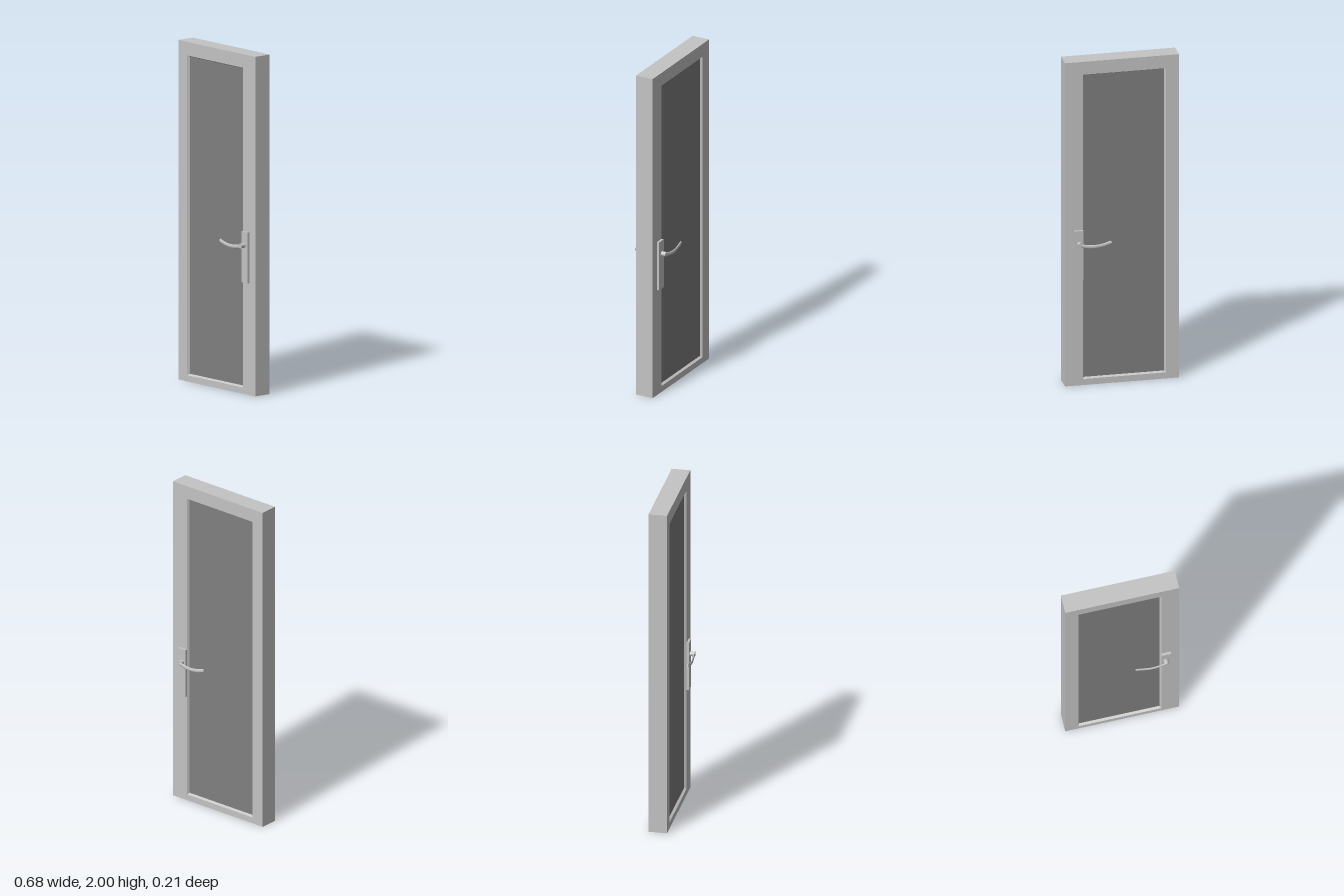
import * as THREE from 'three';

const mat = (name, color, extra = {}) => Object.assign(new THREE.MeshStandardMaterial({ color, ...extra }), { name });

export function createModel() {
  const frameGrey = mat('frame grey', 0xc4c4c4);
  const beadGrey = mat('bead grey', 0xc4c4c4, { side: THREE.DoubleSide });
  const glassGrey = mat('dark glass', 0x808080);
  const door = new THREE.Group();
  door.name = 'door';

  const add = (parent, name, geometry, material, x = 0, y = 0, z = 0) => {
    const mesh = new THREE.Mesh(geometry, material);
    mesh.name = name;
    mesh.position.set(x, y, z);
    parent.add(mesh);
    return mesh;
  };

  // Corners of a rectangle, counter-clockwise
  const L = -0.26, R = 0.232, B = 0.037, T = 1.92;
  const rect = (l, r, b, t) => [[l, b], [r, b], [r, t], [l, t]];
  const points = (list) => list.map(([x, y]) => new THREE.Vector2(x, y));

  // Frame with the window opening
  const depth = 0.11, glassZ = 0.04, lip = 0.008;
  const shape = new THREE.Shape(points(rect(-0.338, 0.338, 0, 2)));
  shape.holes.push(new THREE.Path(points(rect(L, R, B, T).reverse())));
  const frame = new THREE.ExtrudeGeometry(shape, { depth, bevelEnabled: false });
  add(door, 'frame', frame, frameGrey, 0, 0, -depth / 2);

  // Glass pane
  add(door, 'glass', new THREE.BoxGeometry(R - L, T - B, glassZ * 2), glassGrey, (L + R) / 2, (B + T) / 2, 0);

  // Sloping bead from the frame face down to the glass
  const bead = (s) => {
    const outer = rect(L, R, B, T), inner = rect(L + lip, R - lip, B + lip, T - lip);
    const pos = [];
    for (let i = 0; i < 4; i++) {
      const j = (i + 1) % 4;
      const a = [...outer[i], s * depth / 2], b = [...outer[j], s * depth / 2];
      const c = [...inner[j], s * (glassZ + 0.001)], d = [...inner[i], s * (glassZ + 0.001)];
      pos.push(...(s > 0 ? [a, b, c, a, c, d] : [a, c, b, a, d, c]).flat());
    }
    const g = new THREE.BufferGeometry();
    g.setAttribute('position', new THREE.Float32BufferAttribute(pos, 3));
    g.computeVertexNormals();
    return g;
  };

  // Handle set on each face: back plate, spindle and curved lever
  for (const s of [1, -1]) {
    add(door, s > 0 ? 'frontBead' : 'backBead', bead(s), beadGrey);

    const handle = new THREE.Group();
    handle.name = s > 0 ? 'frontHandle' : 'backHandle';
    door.add(handle);
    add(handle, 'backPlate', new THREE.BoxGeometry(0.055, 0.3, 0.016), frameGrey, 0.26, 0.81, s * 0.062);
    add(handle, 'spindle', new THREE.CylinderGeometry(0.014, 0.014, 0.035, 24).rotateX(Math.PI / 2),
      frameGrey, 0.256, 0.88, s * 0.0825);

    // Lever has an oval section: round tube flattened in z
    const flat = 0.45, radius = 0.011, z0 = s > 0 ? 0.093 : 0.095;
    const path = new THREE.CatmullRomCurve3([
      [0.262, 0.882, 0], [0.225, 0.872, 0.003], [0.17, 0.868, 0.006], [0.12, 0.873, 0.003], [0.072, 0.885, 0],
    ].map(([x, y, z]) => new THREE.Vector3(x, y, s * (z0 + z) / flat)));
    add(handle, 'lever', new THREE.TubeGeometry(path, 24, radius, 14).scale(1, 1, flat), frameGrey);

    // End caps of the lever
    for (const [t, dir] of [[0, -1], [1, 1]]) {
      const q = new THREE.Quaternion().setFromUnitVectors(
        new THREE.Vector3(0, 0, 1), path.getTangentAt(t).multiplyScalar(dir));
      const p = path.getPointAt(t);
      const cap = new THREE.CircleGeometry(radius, 14).applyQuaternion(q).translate(p.x, p.y, p.z).scale(1, 1, flat);
      add(handle, 'leverEnd', cap, frameGrey);
    }
  }
  return door;
}
